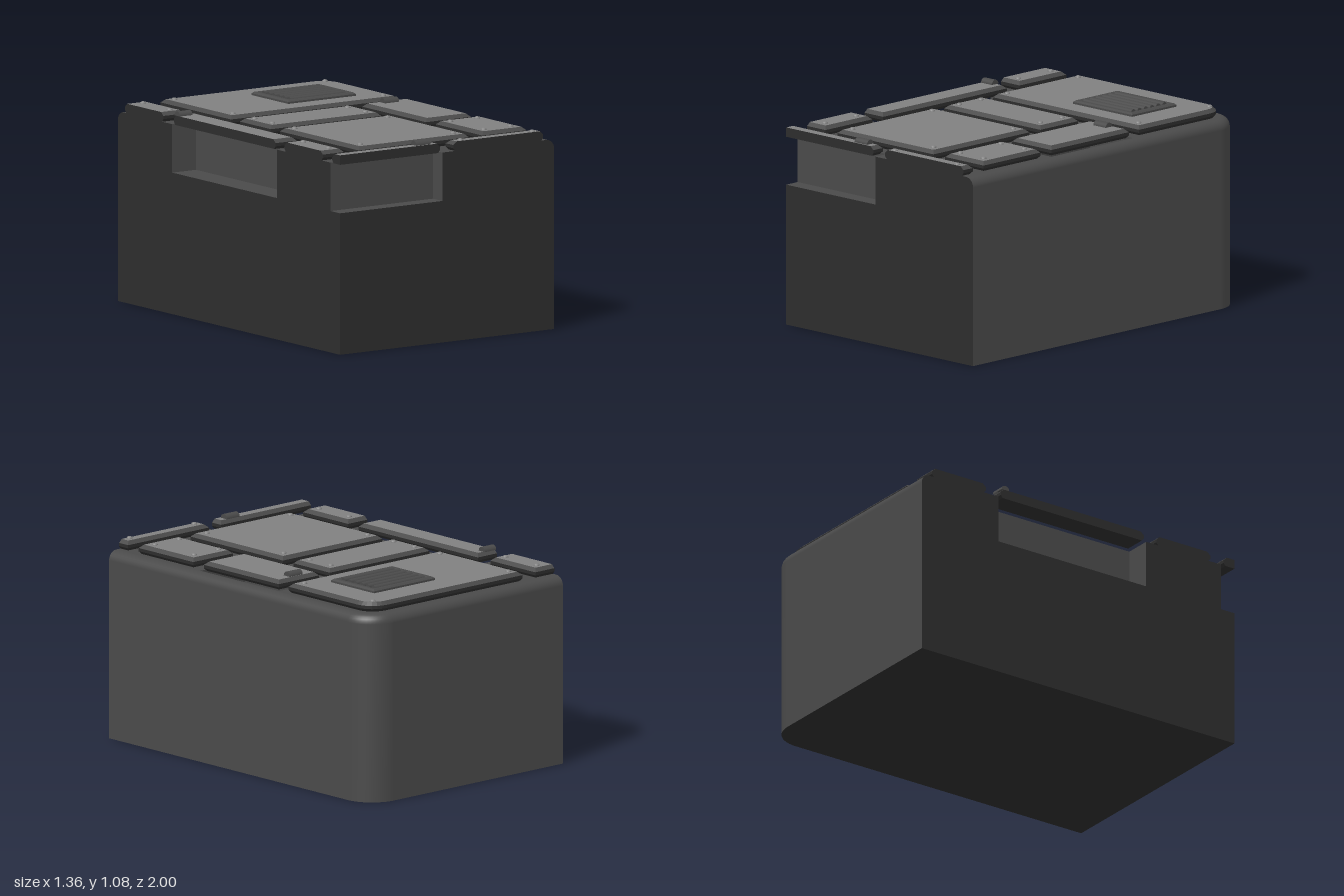
import * as THREE from 'three';

const mat = (name, color, side = THREE.FrontSide) => {
  const m = new THREE.MeshStandardMaterial({ color, side });
  m.name = name;
  return m;
};
const X = 0.68, Z = 1, FLOOR = 0.745, FILLET = 0.05, CORNER = 0.17;

export function createModel() {
  const plateGrey = mat('plate grey', 0x808080);
  const hullGrey = mat('hull grey', 0x4a4a4a, THREE.DoubleSide);
  const darkGrey = mat('dark grey', 0x2d2d2d, THREE.DoubleSide);
  const root = new THREE.Group();
  const add = (name, geo, material, x = 0, y = 0, z = 0, parent = root) => {
    const m = new THREE.Mesh(geo, material);
    m.name = name;
    m.position.set(x, y, z);
    parent.add(m);
    return m;
  };

  // Quarter arc turning from the +x side to the -z side
  const arc = (cx, cz, r, n) => Array.from({ length: n + 1 }, (_, i) => {
    const a = (i / n) * Math.PI / 2;
    return [cx + r * Math.cos(a), cz - r * Math.sin(a)];
  });
  const hullPath = (inset) => [
    [X - inset, Z], ...arc(X - CORNER, -Z + CORNER, CORNER - inset, 12), [-X, -Z + inset]];

  // Outer walls with a rounded top edge
  const levels = [[0, 0], [1 - FILLET, 0]];
  for (let i = 1; i <= 6; i++) {
    const a = (i / 6) * Math.PI / 2;
    levels.push([1 - FILLET + FILLET * Math.sin(a), FILLET * (1 - Math.cos(a))]);
  }
  const pos = [], idx = [], n = hullPath(0).length;
  levels.forEach(([y, inset], k) => {
    hullPath(inset).forEach(([x, z], i) => {
      pos.push(x, y, z);
      if (k && i) {
        const c = k * n + i, a = c - n;
        idx.push(a - 1, a, c, a - 1, c, c - 1);
      }
    });
  });
  const wall = new THREE.BufferGeometry();
  wall.setAttribute('position', new THREE.Float32BufferAttribute(pos, 3));
  wall.setIndex(idx);
  wall.computeVertexNormals();
  add('outerWalls', wall, hullGrey);

  const shapeOf = (pts) => new THREE.Shape(pts.map(([a, b]) => new THREE.Vector2(a, b)));
  // Shapes drawn as (x, -z) and laid flat
  const flat = (shape) => new THREE.ShapeGeometry(shape).rotateX(-Math.PI / 2);
  const flip = (pts) => pts.map(([x, z]) => [x, -z]);

  // Wells under the hatches: x0, x1, z0, z1
  const sideWell = [-X, -0.53, -0.51, 0.435];
  const frontWell = [-X, -0.03, 0.915, Z];
  const deckWell = [0.31, 0.622, -0.24, 0.362];

  // Deck with well openings
  const deck = shapeOf(flip([
    [-0.03, Z], ...hullPath(FILLET), [-X, -0.51], [-0.53, -0.51], [-0.53, 0.435],
    [-X, 0.435], [-X, 0.915], [-0.03, 0.915]]));
  const [a0, a1, b0, b1] = deckWell;
  deck.holes.push(new THREE.Path(flip([[a0, b0], [a1, b0], [a1, b1], [a0, b1]])
    .map(([x, y]) => new THREE.Vector2(x, y))));
  add('deck', flat(deck), hullGrey, 0, 1, 0);

  // Well linings, left open where the block is cut
  for (const [x0, x1, z0, z1] of [sideWell, frontWell, deckWell]) {
    const w = x1 - x0, d = z1 - z0, h = 1 - FLOOR;
    const cx = (x0 + x1) / 2, cz = (z0 + z1) / 2, cy = FLOOR + h / 2;
    add('wellFloor', new THREE.PlaneGeometry(w, d).rotateX(-Math.PI / 2), hullGrey, cx, FLOOR, cz);
    const across = new THREE.PlaneGeometry(w, h);
    add('wellWall', across, hullGrey, cx, cy, z0);
    if (z1 < Z) add('wellWall', across.clone().rotateY(Math.PI), hullGrey, cx, cy, z1);
    const along = new THREE.PlaneGeometry(d, h);
    add('wellWall', along.clone().rotateY(-Math.PI / 2), hullGrey, x1, cy, cz);
    if (x0 > -X) add('wellWall', along.clone().rotateY(Math.PI / 2), hullGrey, x0, cy, cz);
  }

  // Flat cut faces and underside
  const rounded = levels.slice(1).map(([y, inset]) => [X - inset, y]);
  add('frontFace', new THREE.ShapeGeometry(shapeOf([
    [-X, 0], [X, 0], ...rounded, [-0.03, 1], [-0.03, FLOOR], [-X, FLOOR]])), darkGrey, 0, 0, Z);
  add('rightFace', new THREE.ShapeGeometry(shapeOf([
    [-Z, 0], [Z, 0], [Z, FLOOR], [0.915, FLOOR], [0.915, 1], [0.435, 1], [0.435, FLOOR],
    [-0.51, FLOOR], [-0.51, 1], ...levels.slice(1).reverse().map(([y, i]) => [-Z + i, y])]))
    .rotateY(-Math.PI / 2), darkGrey, -X, 0, 0);
  add('underside', new THREE.ShapeGeometry(shapeOf([[-X, Z], ...hullPath(0)]))
    .rotateX(Math.PI / 2), darkGrey);

  // Bevelled plate; edges on the cut planes stay straight
  const plateRing = ([x0, x1, z0, z1], inset, round) => {
    const l = x0 <= -X ? x0 : x0 + inset, r = x1 - inset;
    const b = z0 + inset, f = z1 >= Z ? z1 : z1 - inset;
    const corner = round ? arc(x1 - round, z0 + round, round - inset, 6) : [[r, b]];
    return [[l, f], [r, f], ...corner, [l, b]];
  };
  const plateGeometry = (rect, round) => {
    const profile = [[1, 0.012], [1.015, 0], [1.032, 0], [1.05, 0.02]];
    const rings = profile.map(([y, i]) => plateRing(rect, i, round).map(([x, z]) => [x, y, z]));
    const parts = [[], [], []];
    const count = rings[0].length;
    for (let k = 0; k < 3; k++) {
      for (let i = 0; i < count; i++) {
        const j = (i + 1) % count;
        const a = rings[k][i], b = rings[k][j], c = rings[k + 1][j], d = rings[k + 1][i];
        const cut = (a[0] <= -X && b[0] <= -X) || (a[2] >= Z && b[2] >= Z);
        parts[k === 2 && !cut ? 1 : 0].push(...a, ...b, ...c, ...a, ...c, ...d);
      }
    }
    for (let i = 1; i < count - 1; i++) {
      parts[2].push(...rings[3][0], ...rings[3][i], ...rings[3][i + 1]);
      parts[0].push(...rings[0][0], ...rings[0][i + 1], ...rings[0][i]);
    }
    const g = new THREE.BufferGeometry();
    g.setAttribute('position', new THREE.Float32BufferAttribute(parts.flat(), 3));
    let start = 0;
    parts.forEach((p, m) => { g.addGroup(start, p.length / 3, m); start += p.length / 3; });
    g.computeVertexNormals();
    return g;
  };

  // Plates: name, rectangle, bolt x positions, bolt z positions, corner radius
  const plates = [
    ['ventPlate', [-0.455, 0.61, -0.935, -0.3], [-0.405, 0.55], [-0.88, -0.355], 0.11],
    ['narrowPlate', [-0.455, 0.245, -0.22, 0.06], [-0.405, 0.185], [-0.16, 0]],
    ['largePlate', [-0.455, 0.245, 0.14, 0.85], [-0.405, 0.185], [0.2, 0.79]],
    ['smallPlate', [0.33, 0.61, 0.43, 0.85], [0.38, 0.55], [0.49, 0.79]],
    ['frontPlate', [0.04, 0.61, 0.93, Z], [0.095, 0.55], [0.984]],
    ['backEdgePlate', [-X, -0.545, -0.935, -0.59], [-0.605], [-0.88, -0.64]],
    ['frontEdgePlate', [-X, -0.545, 0.5, 0.845], [-0.605], [0.56, 0.79]],
    ['deckHatch', [0.325, 0.61, -0.225, 0.35], [], []],
    ['sideHatch', [-X, -0.545, -0.495, 0.42], [], []],
    ['frontHatch', [-X, -0.045, 0.93, Z], [], []],
  ];
  const bolt = new THREE.SphereGeometry(0.016, 12, 5, 0, Math.PI * 2, 0, Math.PI / 2)
    .scale(1, 0.7, 1);
  for (const [name, rect, xs, zs, round] of plates) {
    add(name, plateGeometry(rect, round), [darkGrey, hullGrey, plateGrey]);
    for (const x of xs) for (const z of zs) add('bolt', bolt, plateGrey, x, 1.05, z);
  }

  // Half-round bar lying along x
  const bar = (length, r) => new THREE.CylinderGeometry(r, r, length, 12, 1, false, 0, Math.PI)
    .rotateZ(Math.PI / 2);

  // Hatch handles
  for (const [x, z, w] of [[0.465, -0.178, 0.09], [-0.64, -0.465, 0.08], [-0.145, 0.968, 0.09]]) {
    add('handle', bar(w, 0.024), hullGrey, x, 1.05, z);
  }

  // Vent with frame and slats
  const vent = new THREE.Group();
  vent.name = 'vent';
  vent.position.set(0.215, 1.05, -0.595);
  root.add(vent);
  const rectPts = (w, d) => [[-w, -d], [w, -d], [w, d], [-w, d]];
  const frame = shapeOf(rectPts(0.205, 0.155));
  frame.holes.push(new THREE.Path(rectPts(0.188, 0.138).map(([x, y]) => new THREE.Vector2(x, y))));
  add('ventFrame', new THREE.ExtrudeGeometry(frame, {
    depth: 0.01, bevelEnabled: true, bevelSize: 0.01, bevelThickness: 0.008, bevelSegments: 1,
  }).rotateX(-Math.PI / 2), hullGrey, 0, 0, 0, vent);
  add('ventBack', new THREE.BoxGeometry(0.39, 0.006, 0.29), darkGrey, 0, 0.003, 0, vent);
  for (let i = 0; i < 6; i++) {
    add('ventSlat', bar(0.35, 0.016), hullGrey, 0, 0.01, (i - 2.5) * 0.046, vent);
  }
  return root;
}
